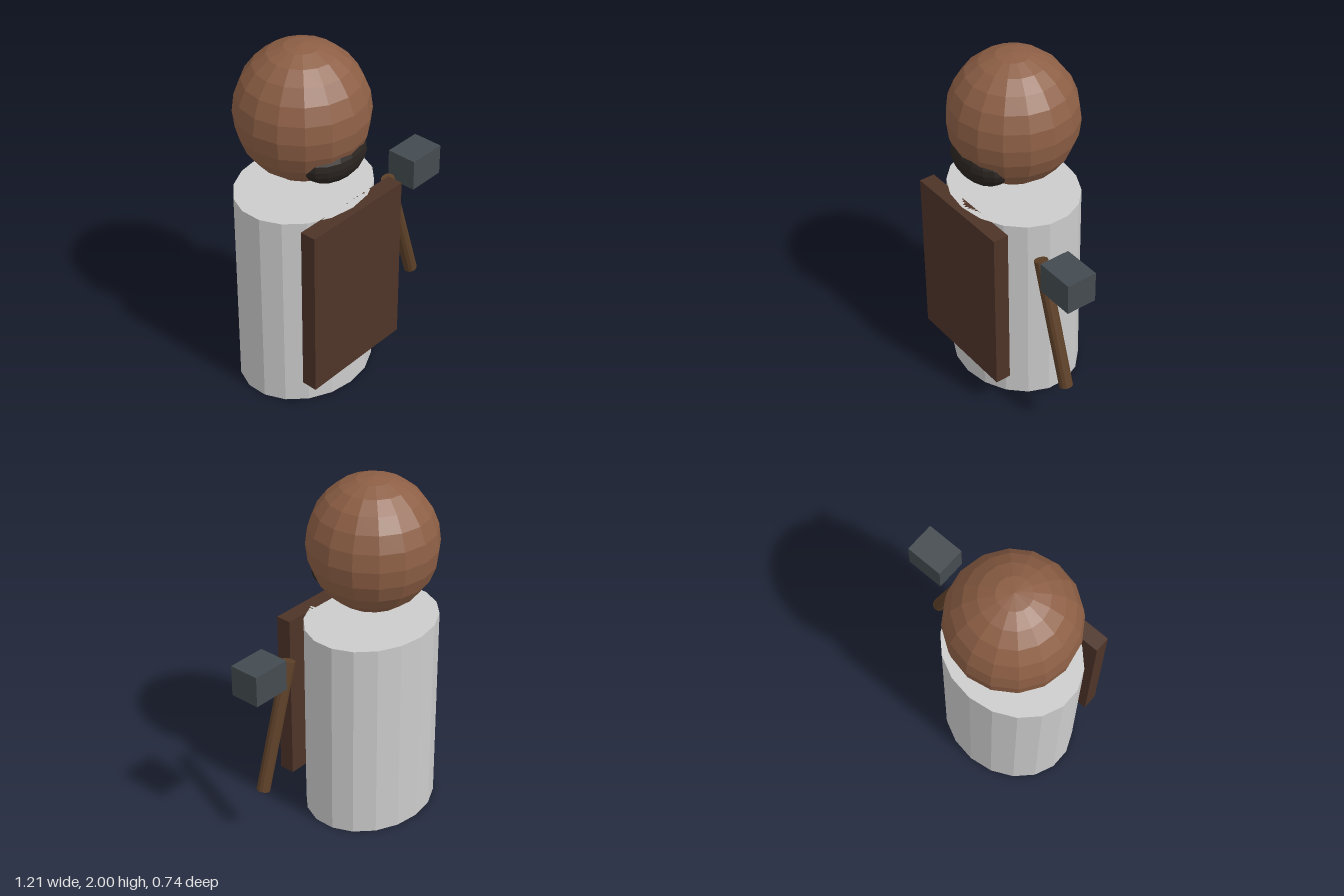
import * as THREE from 'three';

export function createModel() {
  const model = new THREE.Group();
  model.name = 'figure';

  function add(name, geometry, color, position, scale = [1, 1, 1]) {
    const material = new THREE.MeshStandardMaterial({ color, flatShading: true });
    const mesh = new THREE.Mesh(geometry, material);
    mesh.name = name;
    mesh.position.set(...position);
    mesh.scale.set(...scale);
    model.add(mesh);
    return mesh;
  }

  // Oval barrel body
  add('body', new THREE.CylinderGeometry(1, 1, 1.175, 18), 0xcccccc, [-0.207, 0.5875, -0.009], [0.404, 1, 0.34]);

  // Floating faceted head
  add('head', new THREE.SphereGeometry(1, 16, 12), 0x8d5f45, [-0.207, 1.625, -0.013], [0.357, 0.375, 0.357]);

  // Beard sunk into the lower face
  add('beard', new THREE.SphereGeometry(1, 16, 12), 0x2a2420, [-0.207, 1.44, 0.2], [0.21, 0.13, 0.13]);

  // Apron slab across the chest
  add('apron', new THREE.BoxGeometry(0.675, 0.99, 0.09), 0x4e3428, [-0.205, 0.68, 0.326]);

  // Hammer: leaning handle and separate block head
  const handle = add('hammerHandle', new THREE.CylinderGeometry(0.038, 0.038, 0.76, 12), 0x5d4028, [0.378, 0.68, 0.168]);
  handle.rotation.z = 0.3;
  add('hammerHead', new THREE.BoxGeometry(0.226, 0.178, 0.178), 0x444b50, [0.491, 1.042, 0.168]);

  return model;
}
